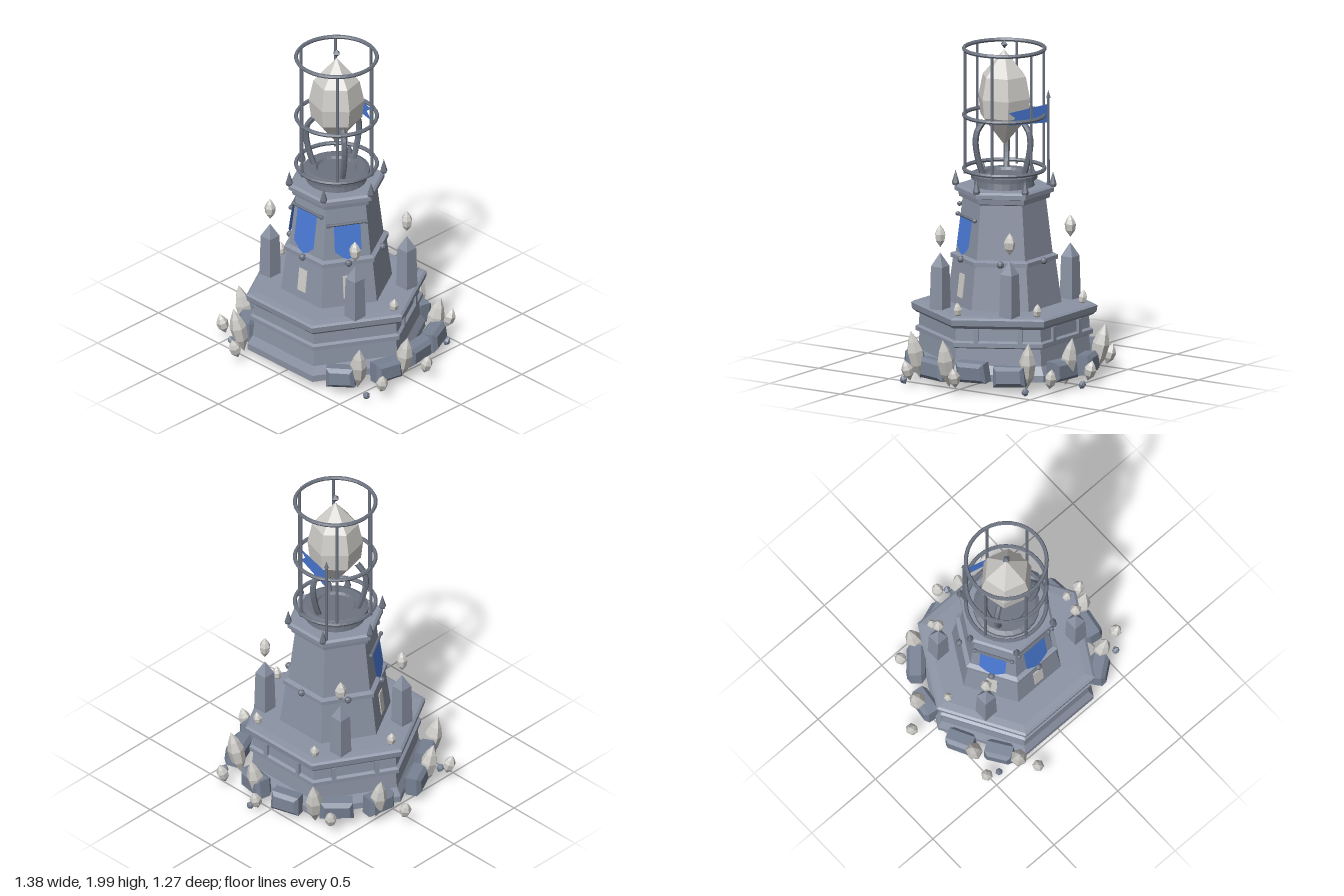
import * as THREE from 'three';

const mat = (name, color, side = THREE.FrontSide) =>
  new THREE.MeshStandardMaterial({ name, color, side, flatShading: true });

export function createModel() {
  const stone = mat('stone', 0x8b93a4);
  const shell = mat('hollow stone', 0x8b93a4, THREE.DoubleSide);
  const rockMat = mat('rock', 0x788294);
  const metal = mat('metal', 0x6c7380);
  const crystal = mat('crystal', 0xcfcdc9);
  const blue = mat('blue cloth', 0x4a7ad6, THREE.DoubleSide);

  const root = new THREE.Group();
  root.name = 'crystalTower';
  const tower = new THREE.Group(); // everything centred on the tower axis
  tower.name = 'tower';
  tower.position.z = 0.03;
  root.add(tower);

  const add = (parent, name, geo, material, x = 0, y = 0, z = 0) => {
    const m = new THREE.Mesh(geo, material);
    m.name = name;
    m.position.set(x, y, z);
    parent.add(m);
    return m;
  };
  const V2 = (pts) => pts.map(([x, y]) => new THREE.Vector2(x, y));
  const lathe = (pts, sides = 6, start = Math.PI / 6) =>
    new THREE.LatheGeometry(V2(pts), sides, start);
  const polar = (r, a) => [r * Math.sin(a), r * Math.cos(a)];
  const sixth = Math.PI / 3;

  // Hollow plinth and its deck
  add(tower, 'plinth', lathe([[0.535, 0.06], [0.535, 0.1], [0.505, 0.15], [0.495, 0.25],
    [0.52, 0.26], [0.52, 0.285], [0.5, 0.295], [0.495, 0.375]]), shell);
  add(tower, 'deck', lathe([[0, 0.37], [0.515, 0.37], [0.54, 0.39], [0.545, 0.425],
    [0.53, 0.435], [0.48, 0.44], [0, 0.445]]), stone);

  // Lower and upper tower with a belt between them and a crown slab
  add(tower, 'lowerTower', lathe([[0.335, 0.44], [0.3, 0.7], [0, 0.7]]), stone);
  add(tower, 'belt', lathe([[0.29, 0.695], [0.315, 0.7], [0.315, 0.725], [0.285, 0.735]]), stone);
  add(tower, 'upperTower', lathe([[0.285, 0.72], [0.243, 1.065]]), stone);
  add(tower, 'crownSlab', lathe([[0.24, 1.055], [0.265, 1.065], [0.27, 1.095], [0.29, 1.1],
    [0.29, 1.125], [0.275, 1.137], [0, 1.137]]), stone);
  add(tower, 'lampDrum', lathe([[0.18, 1.13], [0.17, 1.175], [0.195, 1.18], [0.195, 1.205],
    [0.17, 1.215], [0.12, 1.215], [0.11, 1.2], [0, 1.2]], 24), metal);

  for (let i = 0; i < 6; i++) {
    // Belt studs in the middle of each face, spikes on each crown corner
    const [sx, sz] = polar(0.28, i * sixth);
    add(tower, 'beltStud', new THREE.SphereGeometry(0.021, 8, 6), metal, sx, 0.717, sz);
    const [cx, cz] = polar(0.285, (i + 0.5) * sixth);
    add(tower, 'crownSpike', lathe([[0.017, 1.13], [0.022, 1.145], [0, 1.22]], 6), metal, cx, 0, cz);
  }

  // Vertical ribs on the back three plinth faces
  for (const i of [2, 3, 4]) {
    const face = new THREE.Group();
    face.name = 'ribbedFace';
    face.rotation.y = i * sixth;
    tower.add(face);
    for (const s of [-1, 1])
      add(face, 'rib', new THREE.BoxGeometry(0.028, 0.085, 0.03), stone, s * 0.13, 0.325, 0.435);
  }

  // Window and hanging banner on the front three faces
  for (const i of [-1, 0, 1]) {
    const face = new THREE.Group();
    face.name = 'frontFace';
    face.rotation.y = i * sixth;
    tower.add(face);
    const win = add(face, 'window', new THREE.BoxGeometry(0.066, 0.14, 0.008), crystal, 0, 0.56, 0.2775);
    win.rotation.x = -Math.atan(0.03 / 0.26);

    const top = i === 0 ? 1.01 : 0.96;
    const h = top - 0.74;
    const w = 0.08;
    const cloth = new THREE.Shape(V2([[-w, 0], [-w, 0.055 - h], [-0.03, 0.012 - h],
      [0, -h], [0.03, 0.012 - h], [w, 0.055 - h], [w, 0]]));
    const zTop = i === 0 ? 0.238 : 0.245;
    const banner = add(face, 'banner', new THREE.ShapeGeometry(cloth), blue, 0, top, zTop);
    banner.rotation.x = -Math.atan((0.276 - zTop) / h);
    const rod = add(face, 'bannerRod', new THREE.CylinderGeometry(0.009, 0.009, 0.23, 6), metal, 0, top + 0.004, zTop);
    rod.rotation.z = Math.PI / 2;
    for (const s of [-1, 1])
      add(face, 'rodKnob', new THREE.SphereGeometry(0.014, 6, 5), metal, s * 0.115, top + 0.004, zTop);
  }

  // Cage: three rings and six bars
  for (const y of [1.235, 1.555, 1.95]) {
    const ring = add(tower, 'cageRing', new THREE.TorusGeometry(0.236, 0.012, 6, 36), metal, 0, y, 0);
    ring.rotation.x = Math.PI / 2;
  }
  for (let i = 0; i < 6; i++) {
    const [x, z] = polar(0.235, i * sixth - 0.23);
    add(tower, 'cageBar', new THREE.CylinderGeometry(0.009, 0.009, 0.74, 6), metal, x, 1.585, z);
  }

  // Claws holding the great crystal
  const clawPath = new THREE.CatmullRomCurve3([[0.13, 1.19], [0.165, 1.29], [0.185, 1.4],
    [0.175, 1.47], [0.13, 1.53]].map(([r, y]) => new THREE.Vector3(0, y, r)));
  for (const a of [-sixth, sixth, Math.PI]) {
    const claw = add(tower, 'claw', new THREE.TubeGeometry(clawPath, 10, 0.018, 6), metal);
    claw.rotation.y = a;
  }
  add(tower, 'greatCrystal', lathe([[0, 1.375], [0.15, 1.55], [0.162, 1.66], [0.135, 1.79], [0, 1.945]], 6, 0.23), crystal);
  add(tower, 'topGem', new THREE.OctahedronGeometry(0.025), metal, 0, 1.975, 0);

  // Flag on a pole at the back
  add(tower, 'flagPole', new THREE.CylinderGeometry(0.008, 0.01, 0.53, 6), metal, -0.14, 1.4, -0.215);
  add(tower, 'flagPoleTip', new THREE.ConeGeometry(0.014, 0.045, 6), metal, -0.14, 1.68, -0.215);
  const flagShape = new THREE.Shape(V2([[0, 0], [0.3, 0.02], [0.25, 0.06], [0.3, 0.095], [0, 0.11]]));
  const flag = add(tower, 'flag', new THREE.ShapeGeometry(flagShape), blue, -0.14, 1.51, -0.215);
  flag.rotation.y = -0.27;

  // Pointed six-sided gem, leaning outward by a given amount
  const gem = (name, x, y, z, r, h, lean = 0, material = crystal) => {
    const geo = lathe([[0, -h / 2], [r * 0.85, -h * 0.2], [r, h * 0.08], [r * 0.65, h * 0.28], [0, h / 2]], 6, x * 9);
    const m = add(root, name, geo, material, x, y, z);
    const out = new THREE.Vector3(x, 0, z).normalize().multiplyScalar(lean);
    m.quaternion.setFromUnitVectors(new THREE.Vector3(0, 1, 0), out.setY(1).normalize());
  };

  // Corner obelisks with floating gems
  for (const [x, z] of [[-0.3, -0.23], [0.32, -0.23], [-0.343, 0.235], [0.36, 0.235]]) {
    add(root, 'obelisk', lathe([[0.062, 0.435], [0.062, 0.46], [0.055, 0.69], [0, 0.77]], 4, Math.PI / 4), stone, x, 0, z);
    gem('floatingGem', x, 0.87, z, 0.034, 0.135);
  }

  // Small gems on the deck edge
  for (const [x, z] of [[-0.225, -0.37], [0.24, -0.37], [-0.457, 0.03], [0.475, 0.03]])
    gem('deckGem', x, 0.47, z, 0.027, 0.1, 0.15);

  // Bevelled boulders around the foot: x, z, length, turn
  const boulder = (len) => {
    const b = 0.022, w = len / 2 - b, h = 0.035;
    const s = new THREE.Shape(V2([[-w, -h], [w, -h * 1.1], [w * 0.93, h], [-w * 0.96, h * 1.15]]));
    return new THREE.ExtrudeGeometry(s, { depth: 0.065, bevelEnabled: true, bevelSize: b,
      bevelThickness: b, bevelSegments: 1 }).translate(0, 0, -0.0325);
  };
  [[-0.11, -0.48, 0.18, 0.1], [0.145, -0.48, 0.19, 0.1], [-0.375, -0.34, 0.2, 0],
    [0.45, -0.32, 0.19, -0.2], [-0.5, -0.12, 0.18, 0.1], [0.52, -0.11, 0.19, -0.1],
    [0.53, 0.15, 0.18, 0.1], [-0.5, 0.19, 0.17, 0.1], [-0.38, 0.39, 0.17, -0.2],
    [0.4, 0.39, 0.17, -0.15]].forEach(([x, z, len, turn], i) => {
    const m = add(root, 'boulder', boulder(len), rockMat, x, 0.115 + 0.008 * (i % 3), z);
    m.rotation.set(0.08 * (i % 3 - 1), Math.atan2(x, z) + turn, 0.06 * (i % 2), 'YXZ');
  });

  // Large crystals, smaller ones and shards round the foot
  for (const [x, z] of [[-0.53, -0.15], [-0.295, -0.445], [0.12, -0.51], [0.385, -0.4],
    [0.575, 0.045], [0.48, 0.325], [-0.495, 0.3], [-0.33, 0.505]])
    gem('largeCrystal', x, 0.17, z, 0.05, 0.3, 0.22);
  for (const [x, z] of [[-0.66, -0.06], [-0.415, -0.43], [0.03, -0.6], [0.355, -0.545],
    [0.65, -0.065], [0.63, 0.28], [-0.525, 0.445], [-0.265, 0.6]])
    gem('smallCrystal', x, 0.11, z, 0.036, 0.13, 0.3);
  for (const [x, z] of [[0.09, -0.585], [0.45, -0.43], [0.57, 0.35], [-0.44, 0.455]])
    gem('shard', x, 0.035, z, 0.022, 0.06, 0.5, rockMat);

  return root;
}
